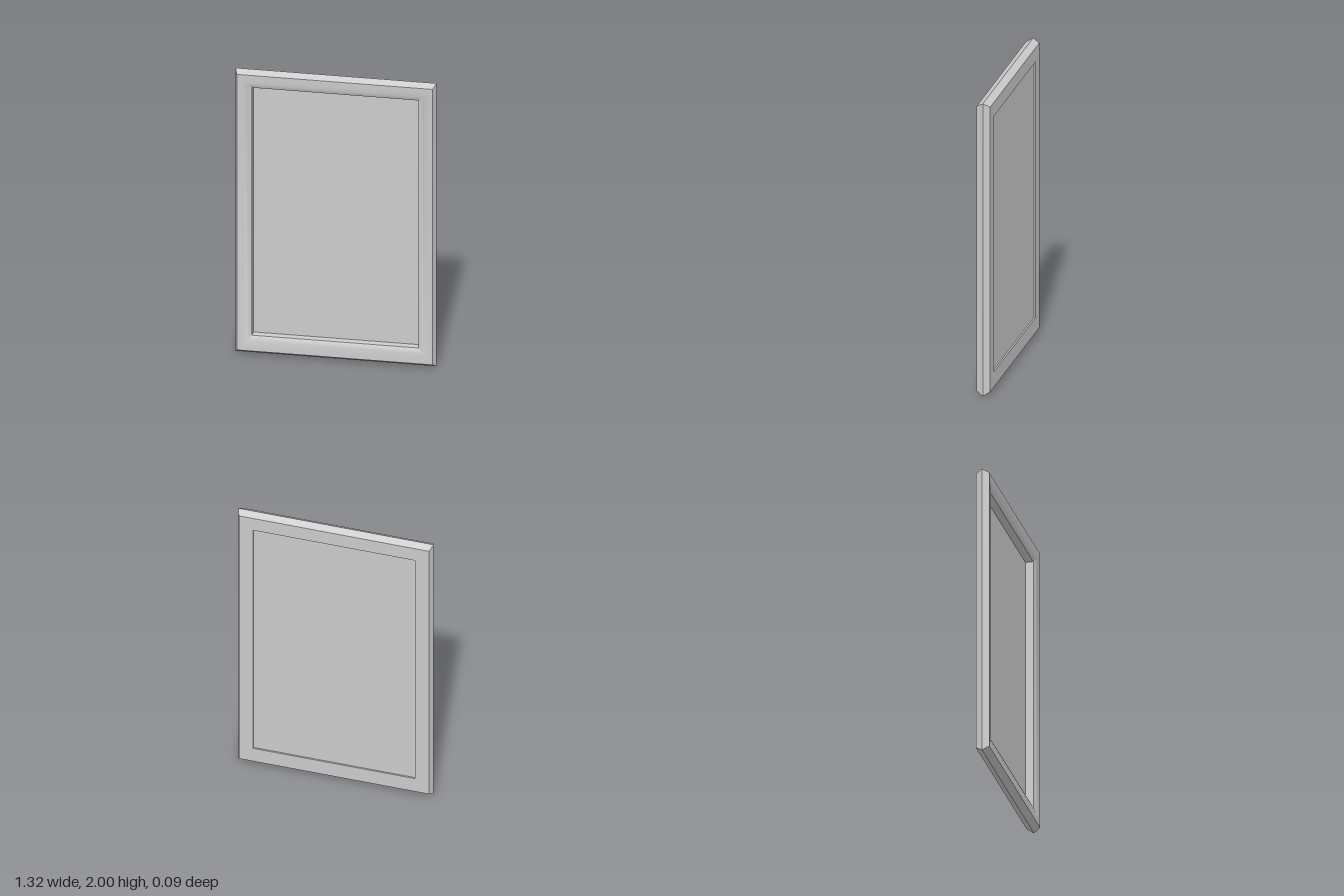
import * as THREE from 'three';
import { toCreasedNormals } from 'three/addons/utils/BufferGeometryUtils.js';

// Rectangular rings swept around the frame: [half width, bottom, top, z]
const rings = [
  [0.66, 0, 2, 0],                  // outer ridge
  [0.643, 0.027, 1.975, 0.045],     // front outer edge
  [0.6, 0.075, 1.93, 0.045],        // start of the inward slope
  [0.575, 0.103, 1.905, 0.038],
  [0.547, 0.13, 1.88, 0.025],       // opening, front
  [0.547, 0.13, 1.88, -0.045],      // opening, back
  [0.643, 0.027, 1.975, -0.045],    // back outer edge
];

function corners([w, bottom, top, z]) {
  return [[-w, bottom, z], [w, bottom, z], [w, top, z], [-w, top, z]];
}

// Joins each ring to the next with four mitred sides
function frameGeometry() {
  const positions = [];
  rings.forEach((ring, r) => {
    const a = corners(ring);
    const b = corners(rings[(r + 1) % rings.length]);
    for (let i = 0; i < 4; i++) {
      const j = (i + 1) % 4;
      positions.push(...a[i], ...a[j], ...b[j], ...a[i], ...b[j], ...b[i]);
    }
  });
  const geometry = new THREE.BufferGeometry();
  geometry.setAttribute('position', new THREE.Float32BufferAttribute(positions, 3));
  return toCreasedNormals(geometry, 0.6);
}

export function createModel() {
  const group = new THREE.Group();
  group.name = 'pictureFrame';
  const material = new THREE.MeshStandardMaterial({ color: 0xcccccc });

  const frame = new THREE.Mesh(frameGeometry(), material);
  frame.name = 'frame';

  // Thin panel set near the back of the opening
  const panel = new THREE.Mesh(new THREE.BoxGeometry(1.094, 1.75, 0.006), material);
  panel.name = 'panel';
  panel.position.set(0, 1.005, -0.031);

  group.add(frame, panel);
  return group;
}
